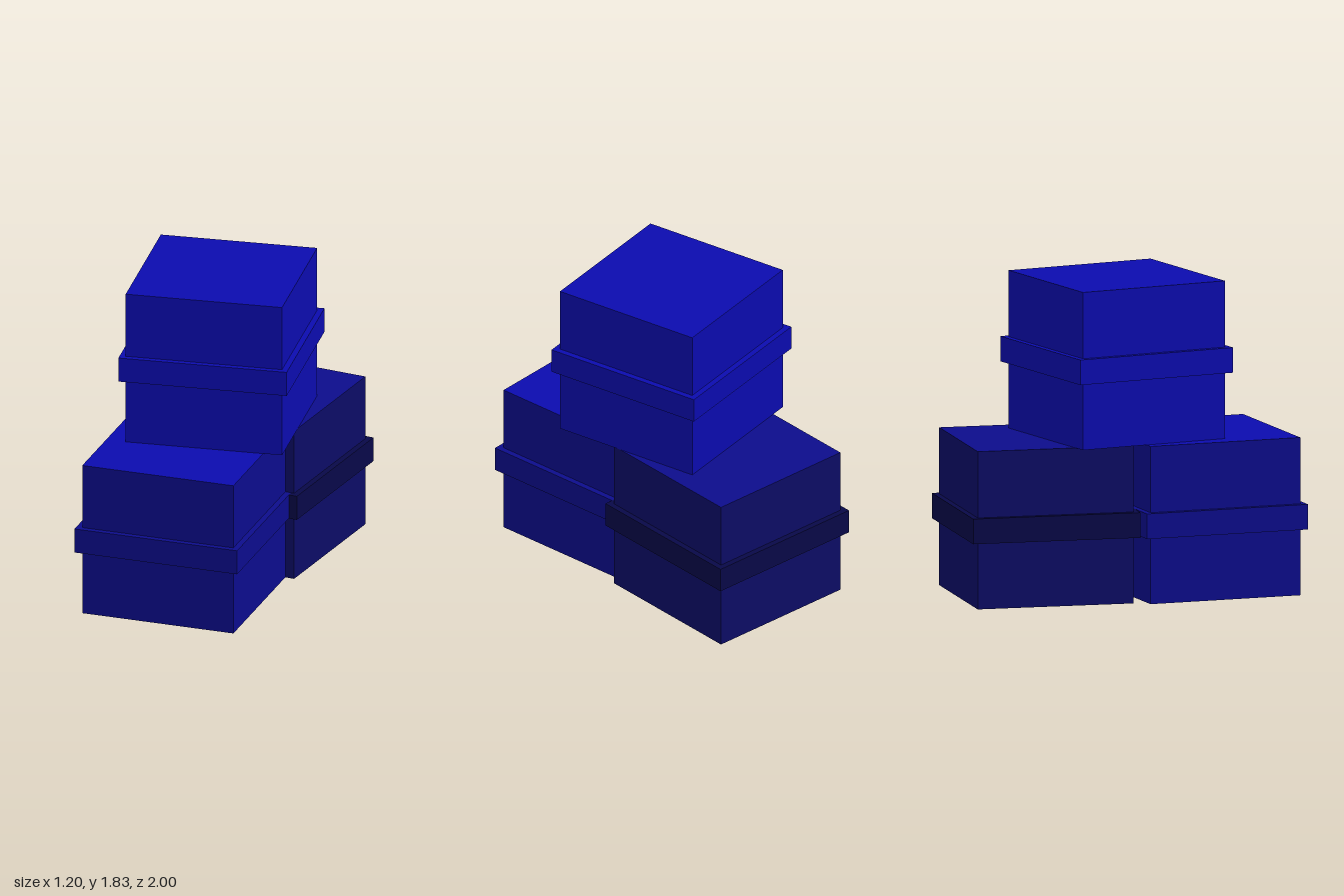
import * as THREE from 'three';

const mat = (name, color) => {
  const m = new THREE.MeshStandardMaterial({ color });
  m.name = name;
  return m;
};

export function createModel() {
  const bright = mat('brightBlue', 0x0b0bae);
  const medium = mat('mediumBlue', 0x0c0c8c);
  const dark = mat('darkBlue', 0x0c0c66);
  const deep = mat('deepBlue', 0x080848);

  const SIZE = 0.92, HEIGHT = 0.917, BAND = 0.99, BAND_HEIGHT = 0.146;

  const model = new THREE.Group();
  model.name = 'stackedBoxes';

  // A box with a raised band around its middle
  function addBox(name, position, turn, { top, side, bottom, band }) {
    const box = new THREE.Group();
    box.name = name;
    const body = new THREE.Mesh(
      new THREE.BoxGeometry(SIZE, HEIGHT, SIZE),
      [side, side, top, bottom, side, side]
    );
    body.name = name + 'Body';
    const ring = new THREE.Mesh(new THREE.BoxGeometry(BAND, BAND_HEIGHT, BAND), band);
    ring.name = name + 'Band';
    box.add(body, ring);
    box.position.set(position[0], position[1] + HEIGHT / 2, position[2]);
    box.rotation.y = turn;
    model.add(box);
  }

  // Two boxes on the ground, one resting across them
  addBox('backBox', [-0.003, 0, -0.503], 0, { top: medium, side: dark, bottom: dark, band: deep });
  addBox('frontBox', [-0.002, 0, 0.447], 0.122, { top: bright, side: medium, bottom: deep, band: medium });
  addBox('topBox', [0, HEIGHT, -0.026], 0.24, { top: bright, side: bright, bottom: bright, band: bright });

  return model;
}
